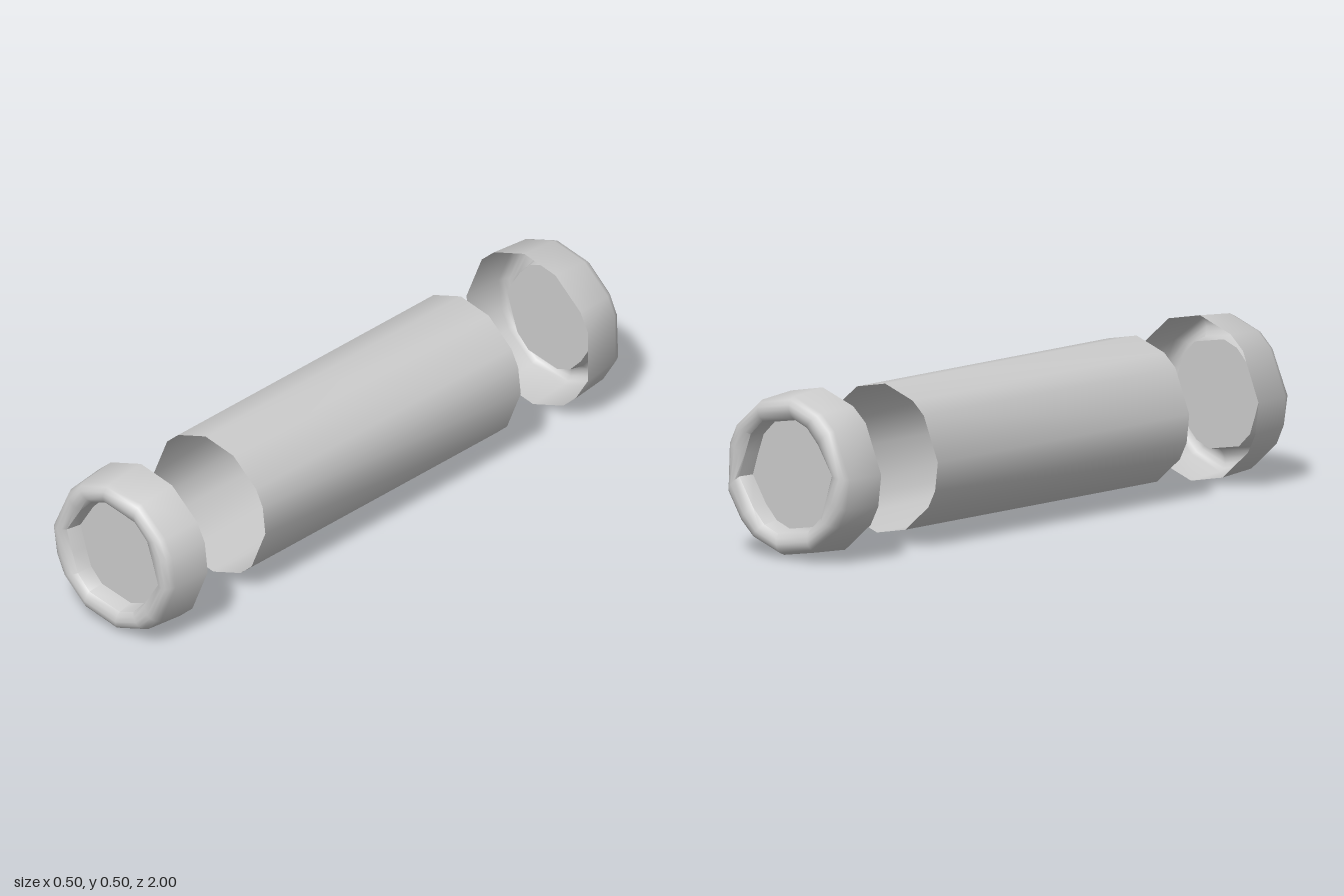
import * as THREE from 'three';
import { toCreasedNormals } from 'three/addons/utils/BufferGeometryUtils.js';

const CENTRE_Y = 0.254;
const material = new THREE.MeshStandardMaterial({ color: 0xcccccc, side: THREE.DoubleSide });

// Half outlines, clockwise seen from the front; the other half is the same turned by 180 degrees
const turn = (half) => [...half, ...half.map(([x, y]) => [-x, -y])];
const outer = turn([[0.108, 0.228], [0.21, 0.141], [0.24, 0.083], [0.252, -0.014],
  [0.19, -0.164], [0.14, -0.209], [0.018, -0.252]]);
const inner = turn([[0.093, 0.156], [0.14, 0.111], [0.162, 0.05], [0.185, -0.022],
  [0.13, -0.109], [0.085, -0.156], [0.03, -0.177]]);

const scaled = (outline, s) => outline.map(([x, y]) => [x * s, y * s]);
const blend = (a, b, t) => a.map(([x, y], i) => [x + (b[i][0] - x) * t, y + (b[i][1] - y) * t]);

// Skin through rings of equal point count; flip turns the faces around
function loft(rings, flip, crease) {
  const n = rings[0].points.length;
  const positions = [];
  const index = [];
  rings.forEach(({ points, z }) => points.forEach(([x, y]) => positions.push(x, y, z)));
  for (let j = 0; j < rings.length - 1; j++) {
    for (let i = 0; i < n; i++) {
      const a = j * n + i, b = j * n + (i + 1) % n, c = a + n, d = b + n;
      if (flip) index.push(a, b, c, b, d, c);
      else index.push(a, c, b, b, c, d);
    }
  }
  const geometry = new THREE.BufferGeometry();
  geometry.setAttribute('position', new THREE.Float32BufferAttribute(positions, 3));
  geometry.setIndex(index);
  return toCreasedNormals(geometry, crease);
}

function addMesh(parent, name, geometry) {
  const mesh = new THREE.Mesh(geometry, material);
  mesh.name = name;
  parent.add(mesh);
  return mesh;
}

// Hollow cap with a rounded lip and a sunken end disc
function makeCap(name, side, outline) {
  const cap = new THREE.Group();
  cap.name = name;
  // [distance along the axis, blend from outer to inner outline]
  const profile = [[0.84, 0], [0.97, 0.14], [0.987, 0.24], [0.998, 0.42], [1, 0.6],
    [0.996, 0.82], [0.985, 1]];
  const rings = profile.map(([z, t]) => ({ points: blend(outline, inner, t), z: z * side }));
  const floor = scaled(inner, 0.95);
  rings.push({ points: floor, z: 0.935 * side });
  addMesh(cap, name + 'Shell', loft(rings, side < 0, 0.75));

  const shape = new THREE.Shape(floor.map(([x, y]) => new THREE.Vector2(x, y)));
  const disc = addMesh(cap, name + 'Disc', new THREE.ShapeGeometry(shape));
  disc.position.z = 0.935 * side;
  if (side < 0) {
    // Turn to face backwards while keeping the outline aligned
    disc.geometry.scale(-1, 1, 1);
    disc.geometry.index.array.reverse();
    disc.rotation.y = Math.PI;
  }
  return cap;
}

export function createModel() {
  const model = new THREE.Group();
  model.name = 'tubeWithEndCaps';

  const body = new THREE.Group();
  body.name = 'body';
  body.position.y = CENTRE_Y;
  model.add(body);

  // Open-ended middle tube
  const section = scaled(outer, 0.9);
  addMesh(body, 'tube', loft([-0.56, 0.56].map((z) => ({ points: section, z })), false, 0.6));

  // The back cap is slightly flattened on its left
  const backOutline = outer.map((p, i) => (i === 3 ? [0.24, -0.084] : p));
  body.add(makeCap('frontCap', 1, outer), makeCap('backCap', -1, backOutline));
  return model;
}
